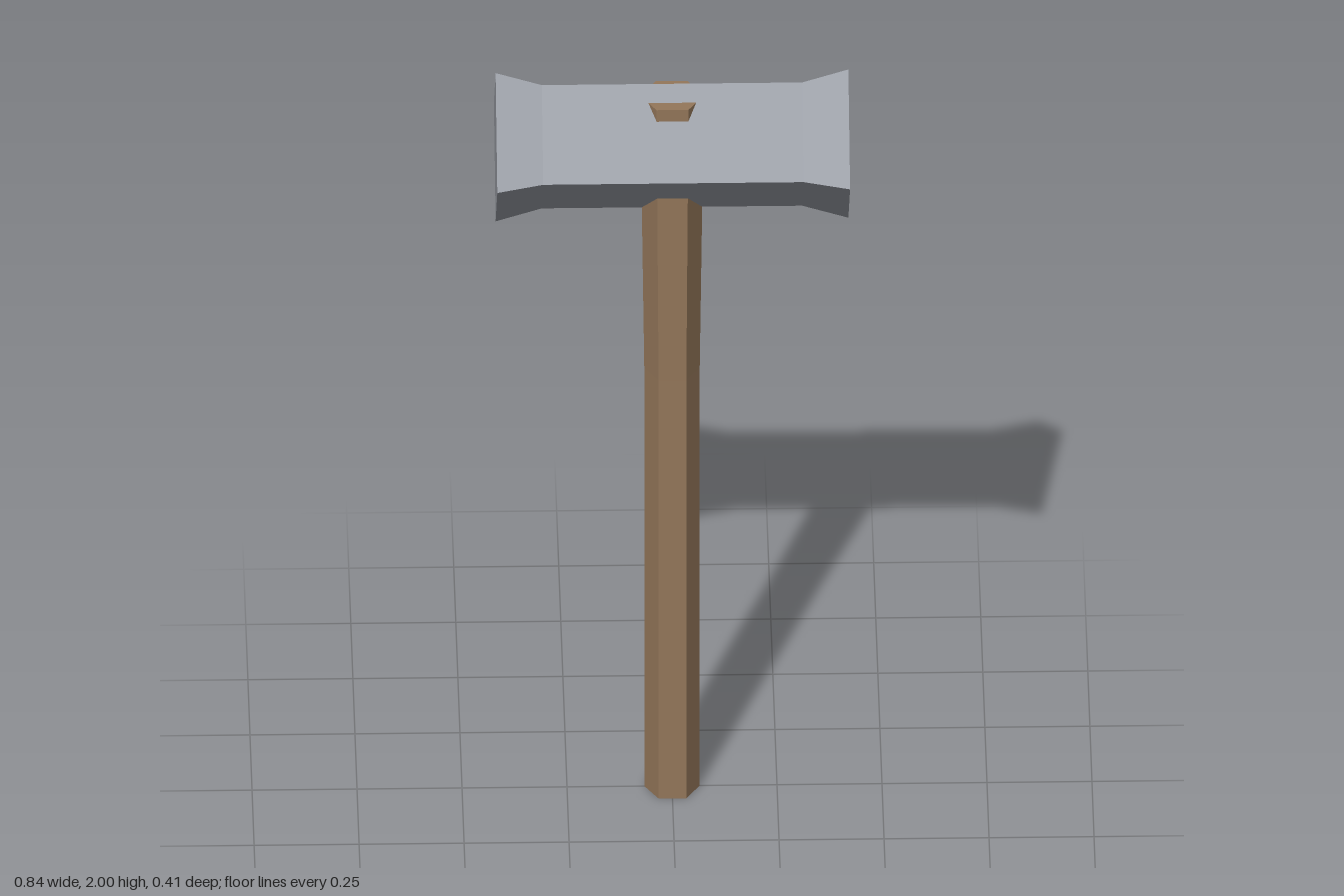
import * as THREE from 'three';

const steel = new THREE.MeshStandardMaterial({ color: 0x9ca0a8, flatShading: true });
steel.name = 'steel';
const wood = new THREE.MeshStandardMaterial({ color: 0x94775a, flatShading: true });
wood.name = 'wood';

// Faceted solid of revolution from [radius, height] pairs, listed bottom to top
function facetedBar(name, profile, sides, start, material) {
  const points = profile.map(([r, y]) => new THREE.Vector2(r, y));
  const mesh = new THREE.Mesh(new THREE.LatheGeometry(points, sides, start), material);
  mesh.name = name;
  return mesh;
}

export function createModel() {
  const group = new THREE.Group();
  group.name = 'hammer';

  // Square bar turned on its edge, flaring out to both striking faces
  const head = facetedBar('head', [
    [0, -0.42], [0.2075, -0.42], [0.1725, -0.31],
    [0.1725, 0.31], [0.2075, 0.42], [0, 0.42],
  ], 4, 0, steel);
  head.rotation.z = Math.PI / 2;
  head.position.y = 1.7925;
  group.add(head);

  // Six-sided handle, widening towards the head and poking through its top faces
  group.add(facetedBar('handle', [
    [0, 0], [0.066, 0], [0.066, 1.17], [0.076, 1.932], [0, 1.932],
  ], 6, Math.PI / 6, wood));

  return group;
}
